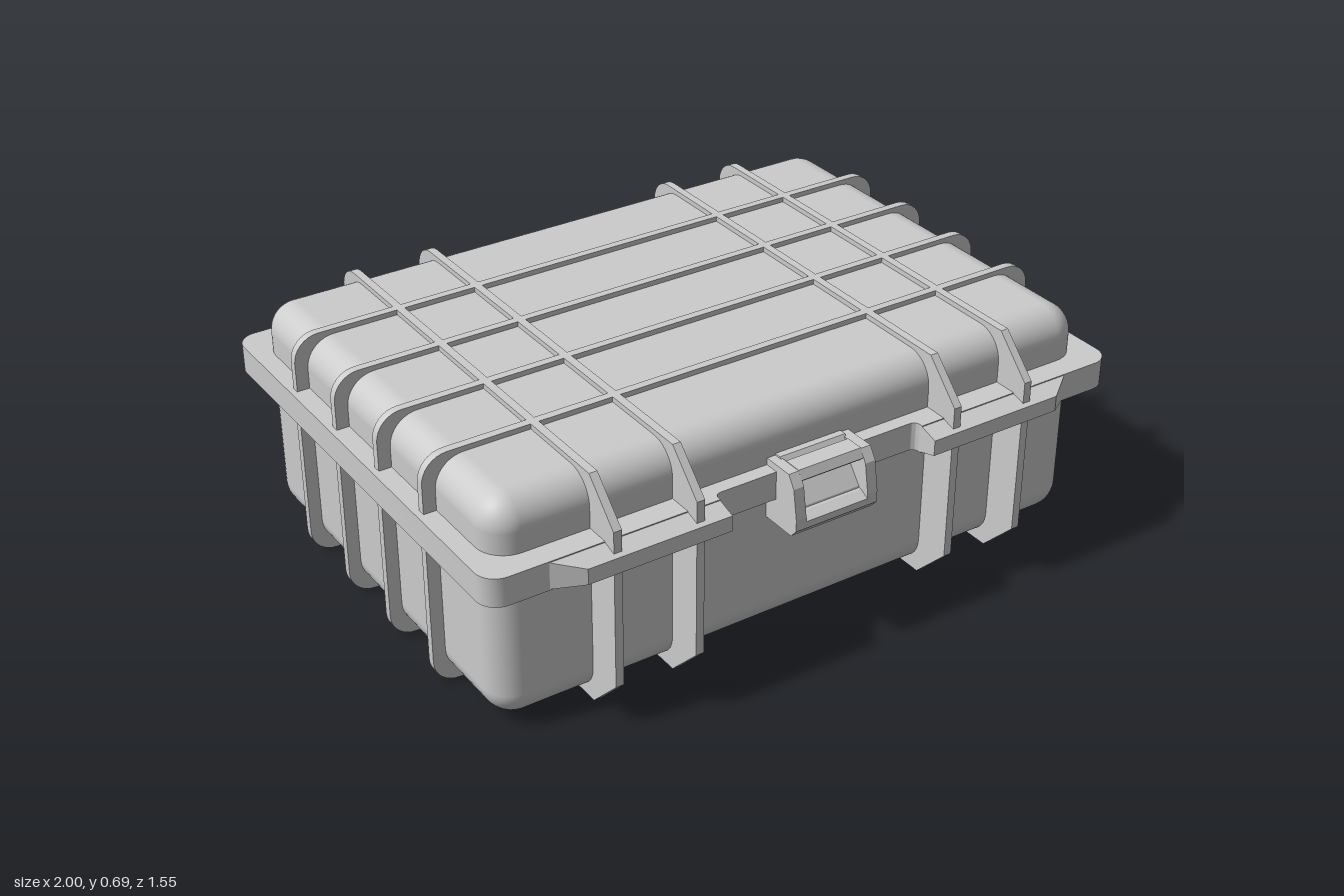
import * as THREE from 'three';
import { toCreasedNormals } from 'three/addons/utils/BufferGeometryUtils.js';
import { RoundedBoxGeometry } from 'three/addons/geometries/RoundedBoxGeometry.js';

const material = new THREE.MeshStandardMaterial({ color: 0xcccccc });

// Outline from [x, y, radius] points; a radius rounds that corner.
function outline(points) {
  const shape = new THREE.Shape();
  const n = points.length;
  points.forEach(([x, y, r = 0], i) => {
    const here = new THREE.Vector2(x, y);
    const toward = (p) => {
      const d = new THREE.Vector2(p[0], p[1]).sub(here).normalize();
      return here.clone().addScaledVector(d, r);
    };
    const a = toward(points[(i + n - 1) % n]);
    const b = toward(points[(i + 1) % n]);
    if (i === 0) shape.moveTo(a.x, a.y);
    else shape.lineTo(a.x, a.y);
    if (r) {
      const k = 0.552;
      const c1 = a.clone().lerp(here, k), c2 = b.clone().lerp(here, k);
      shape.bezierCurveTo(c1.x, c1.y, c2.x, c2.y, b.x, b.y);
    }
  });
  shape.closePath();
  return shape;
}

// Extrusion centred on its depth.
function slab(points, depth) {
  const g = new THREE.ExtrudeGeometry(outline(points), { depth, bevelEnabled: false, curveSegments: 8 });
  return g.translate(0, 0, -depth / 2);
}
const alongX = (points, width) => slab(points, width).rotateY(-Math.PI / 2); // points are [z, y]
const alongY = (points, height) => slab(points, height).rotateX(Math.PI / 2); // points are [x, z]

export function createModel() {
  const model = new THREE.Group();
  const add = (name, geometry, x = 0, y = 0, z = 0, parent = model) => {
    const mesh = new THREE.Mesh(geometry, material);
    mesh.name = name;
    mesh.position.set(x, y, z);
    parent.add(mesh);
    return mesh;
  };
  const crease = (g) => toCreasedNormals(g, 0.5);

  // Rounded shell of the case
  add('caseBody', new RoundedBoxGeometry(1.89, 0.66, 1.31, 6, 0.085), 0, 0.35, -0.015);

  // Rim around the seam, with a notch behind the latch
  const rimY = 0.493, rimH = 0.084;
  add('rim', crease(alongY([
    [-1, -0.74, 0.06], [1, -0.74, 0.06], [1, 0.71, 0.06], [0.325, 0.71],
    [0.325, 0.682, 0.02], [-0.325, 0.682, 0.02], [-0.325, 0.71], [-1, 0.71, 0.06],
  ], rimH)), 0, rimY);

  // Thickened rim lips at the front, tapering forward
  for (const s of [1, -1]) {
    const lip = alongY([[0.325 * s, 0.7], [0.325 * s, 0.765], [0.75 * s, 0.765], [0.84 * s, 0.7]], rimH);
    const p = lip.attributes.position;
    for (let i = 0; i < p.count; i++) if (p.getZ(i) > 0.75) p.setY(i, p.getY(i) * 0.55);
    lip.computeVertexNormals();
    add(s > 0 ? 'leftRimLip' : 'rightRimLip', lip, 0, rimY);
  }

  // Ribs running side to side
  const crossRib = crease(slab([
    [-0.982, 0, 0.075], [0.982, 0, 0.075], [0.982, 0.695, 0.075], [-0.982, 0.695, 0.075],
  ], 0.024));
  for (const z of [0.348, 0.105, -0.138, -0.38]) add('crossRib', crossRib, 0, 0, z);

  // Ribs running front to back, with chamfered front feet
  const lengthRib = crease(alongX([
    [-0.708, 0, 0.075], [0.64, 0], [0.75, 0.112], [0.75, 0.583], [0.64, 0.695], [-0.708, 0.695, 0.075],
  ], 0.024));
  for (const x of [-0.655, -0.411, 0.411, 0.655]) add('lengthRib', lengthRib, x);

  // Hinges with a grooved back and a row of knuckles
  const hingeBlock = alongX([
    [-0.66, 0.38], [-0.66, 0.6], [-0.726, 0.6], [-0.773, 0.55], [-0.773, 0.492],
    [-0.755, 0.482], [-0.773, 0.472], [-0.773, 0.425], [-0.726, 0.38],
  ].reverse(), 0.206);
  const knuckle = new THREE.CylinderGeometry(0.011, 0.011, 0.024, 12).rotateZ(Math.PI / 2);
  for (const s of [1, -1]) {
    const hinge = new THREE.Group();
    hinge.name = s > 0 ? 'leftHinge' : 'rightHinge';
    hinge.position.x = s * 0.532;
    add('hingeBlock', hingeBlock, 0, 0, 0, hinge);
    for (let i = -2; i <= 2; i++) add('hingeKnuckle', knuckle, i * 0.041, 0.482, -0.763, hinge);
    model.add(hinge);
  }

  // Latch: two cheeks, a recessed centre and a pull lip
  const latch = new THREE.Group();
  latch.name = 'latch';
  model.add(latch);
  const cheek = alongX([
    [0.62, 0.376], [0.752, 0.376], [0.773, 0.4], [0.773, 0.435], [0.758, 0.52], [0.735, 0.555], [0.62, 0.555],
  ], 0.032);
  for (const s of [1, -1]) add('latchCheek', cheek, s * 0.115);
  add('latchCentre', alongX([
    [0.62, 0.4], [0.745, 0.4], [0.735, 0.44], [0.695, 0.49], [0.69, 0.52], [0.66, 0.56], [0.62, 0.56],
  ], 0.21), 0, 0, 0, latch);
  add('latchBar', alongX([
    [0.68, 0.52], [0.735, 0.52], [0.748, 0.532], [0.735, 0.557], [0.68, 0.557],
  ], 0.2), 0, 0, 0, latch);
  add('latchPullLip', alongX([
    [0.7, 0.376], [0.752, 0.376], [0.773, 0.4], [0.773, 0.42], [0.745, 0.435], [0.7, 0.435],
  ], 0.262), 0, 0, 0, latch);

  return model;
}
